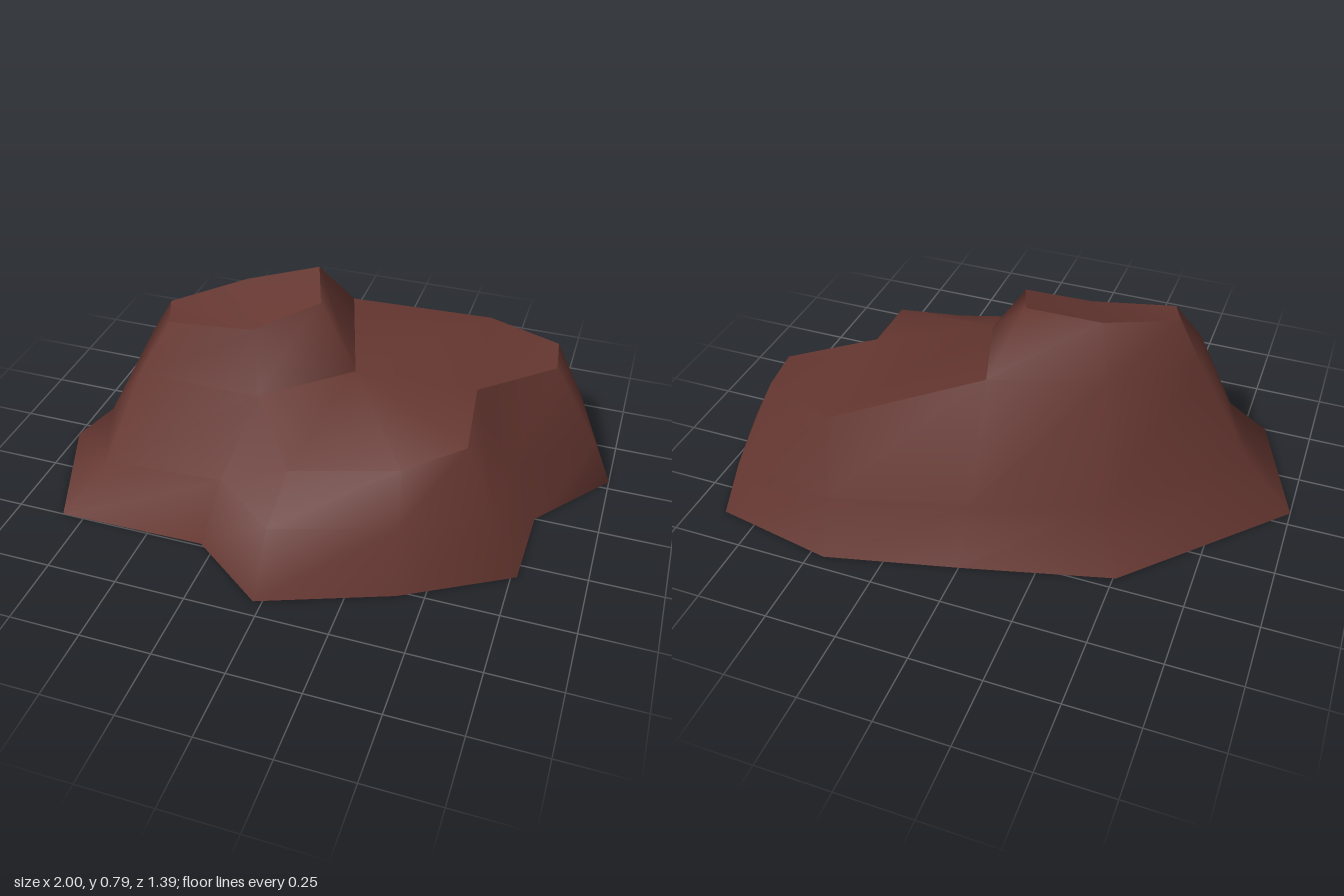
import * as THREE from 'three';

// Each column climbs the rock wall: foot [x, z], waist [x, y, z], shoulder [x, y, z]
const columns = [
  [[-1, 0.06], [-0.82, 0.18, 0.085], [-0.63, 0.55, 0.06]],
  [[-0.83, 0.5], [-0.7, 0.18, 0.38], [-0.58, 0.52, 0.28]],
  [[-0.3, 0.49], [-0.26, 0.21, 0.38], [-0.18, 0.465, 0.21]],
  [[-0.03, 0.69], [-0.01, 0.245, 0.6], [0.01, 0.365, 0.44]],
  [[0.41, 0.52], [0.39, 0.22, 0.44], [0.36, 0.365, 0.325]],
  [[0.77, 0.31], [0.67, 0.2, 0.265], [0.55, 0.42, 0.21]],
  [[0.775, 0], [0.67, 0.2, -0.02], [0.52, 0.465, -0.06]],
  [[1, -0.29], [0.93, 0.17, -0.28], [0.76, 0.47, -0.27]],
  [[0.88, -0.62], [0.84, 0.18, -0.55], [0.74, 0.47, -0.43]],
  [[0.45, -0.7], [0.46, 0.19, -0.61], [0.47, 0.47, -0.53]],
  [[0, -0.59], [0, 0.2, -0.49], [0, 0.59, -0.31]],
  [[-0.51, -0.455], [-0.42, 0.19, -0.33], [-0.37, 0.59, -0.185]],
];
// Corner where the ledge meets the foot of the summit
const innerCorner = [0.12, 0.535, 0.06];
// Summit rim, matching shoulders 0, 1, 2, inner corner, 10, 11
const summit = [
  [-0.54, 0.7, 0.08], [-0.5, 0.685, 0.185], [-0.22, 0.675, 0.13],
  [-0.02, 0.75, 0.01], [-0.08, 0.79, -0.155], [-0.32, 0.74, -0.08],
];

function makeMesh(name, points, index, material) {
  const geometry = new THREE.BufferGeometry();
  geometry.setAttribute('position', new THREE.Float32BufferAttribute(points.flat(), 3));
  geometry.setIndex(index);
  geometry.computeVertexNormals();
  const mesh = new THREE.Mesh(geometry, material);
  mesh.name = name;
  return mesh;
}

// Joins two closed rings of point numbers with a band of quads
function band(lower, upper) {
  return lower.flatMap((a, i) => {
    const j = (i + 1) % lower.length;
    return [a, lower[j], upper[j], a, upper[j], upper[i]];
  });
}

// Fills an outline of point numbers with triangles from its first point
function fan(outline) {
  return outline.slice(1, -1).flatMap((p, i) => [outline[0], p, outline[i + 2]]);
}

export function createModel() {
  const group = new THREE.Group();
  group.name = 'rock';
  const rock = new THREE.MeshStandardMaterial({ color: 0x653630, side: THREE.DoubleSide });
  rock.name = 'reddish brown rock';

  // Smooth walls, open underneath
  const n = columns.length;
  const shoulders = columns.map((c) => c[2]);
  const points = [
    ...columns.map(([[x, z]]) => [x, 0, z]),
    ...columns.map((c) => c[1]),
    ...shoulders, innerCorner, ...summit,
  ];
  const ring = (start) => columns.map((_, i) => start + i);
  const summitFoot = [0, 1, 2, 12, 10, 11].map((i) => 2 * n + i);
  const summitRim = summit.map((_, i) => 3 * n + 1 + i);
  group.add(makeMesh('rockWall', points, [
    ...band(ring(0), ring(n)),
    ...band(ring(n), ring(2 * n)),
    ...band(summitFoot, summitRim),
  ], rock));

  // Ledge beside the summit: front slope, middle and level back end
  const ledge = [innerCorner, ...shoulders.slice(2, 11)];
  group.add(makeMesh('ledge', ledge, [
    ...fan([0, 1, 2, 3, 4, 5]),
    ...fan([0, 5, 8, 9]),
    ...fan([5, 6, 7, 8]),
  ], rock));

  // Summit cap
  group.add(makeMesh('summitCap', summit, fan([2, 3, 4, 5, 0, 1]), rock));

  return group;
}
